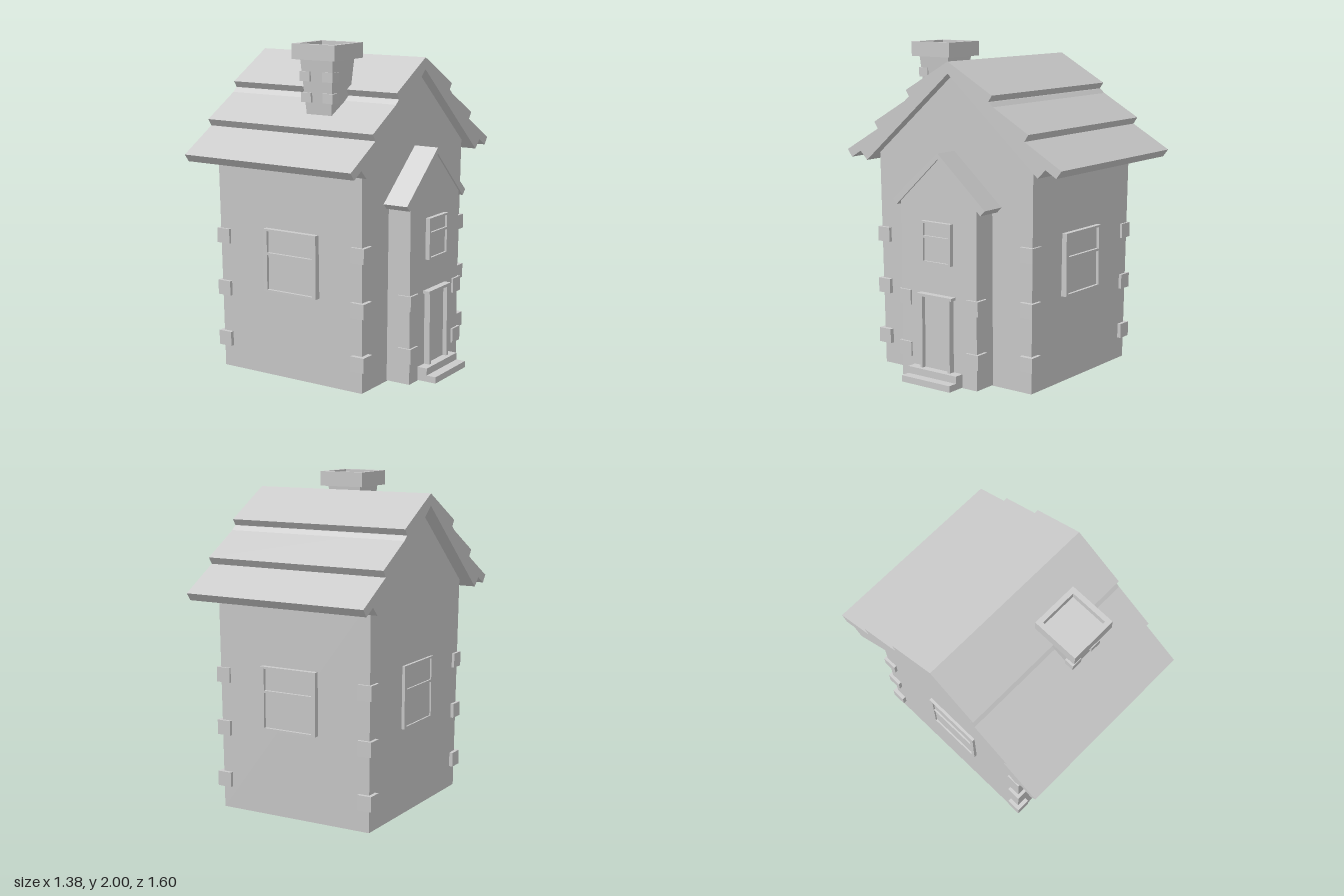
import * as THREE from 'three';

const mat = new THREE.MeshStandardMaterial({ color: 0xcccccc, flatShading: true });

export function createModel() {
  const house = new THREE.Group();
  house.name = 'house';

  const add = (name, geo, parent = house) => {
    const m = new THREE.Mesh(geo, mat);
    m.name = name;
    parent.add(m);
    return m;
  };
  // Box given by its min and max corners
  const box = (name, x0, x1, y0, y1, z0, z1, parent) => {
    const g = new THREE.BoxGeometry(x1 - x0, y1 - y0, z1 - z0);
    g.translate((x0 + x1) / 2, (y0 + y1) / 2, (z0 + z1) / 2);
    return add(name, g, parent);
  };
  const shapeOf = (pts) => new THREE.Shape(pts.map(([a, b]) => new THREE.Vector2(a, b)));
  // Profile in [z, y], extruded along x from x0 to x1
  const prism = (pts, x0, x1) => {
    const g = new THREE.ExtrudeGeometry(shapeOf(pts), { depth: x1 - x0, bevelEnabled: false });
    return g.rotateY(-Math.PI / 2).translate(x1, 0, 0);
  };
  const rect = (x0, x1, y0, y1) => [[x0, y0], [x1, y0], [x1, y1], [x0, y1]];

  // Gabled walls, flaring slightly towards the eaves
  const walls = prism([[-0.55, 0], [0.57, 0], [0.587, 1.34], [0, 1.85], [-0.567, 1.355]], -0.595, 0.405);
  const wp = walls.attributes.position;
  for (let i = 0; i < wp.count; i++) {
    if (wp.getY(i) > 1) wp.setX(i, wp.getX(i) + Math.sign(wp.getX(i)) * 0.013);
  }
  walls.computeVertexNormals();
  add('walls', walls);

  // Roof: a steeper under-layer and three overlapping planks on each slope
  const roofParts = {
    roofUnderlayer: [[0, 1.84], [0.64, 1.285], [0.7, 1.345], [0.3, 1.69], [0, 1.87]],
    roofPlankTop: [[0, 1.91], [0.32, 1.73], [0.29, 1.685], [0, 1.85]],
    roofPlankMiddle: [[0.22, 1.727], [0.575, 1.525], [0.545, 1.48], [0.22, 1.667]],
    roofPlankBottom: [[0.45, 1.54], [0.8, 1.34], [0.765, 1.295], [0.45, 1.478]],
  };
  for (const [name, pts] of Object.entries(roofParts)) {
    for (const s of [1, -1]) add(name, prism(pts.map(([z, y]) => [z * s, y]), -0.69, 0.48));
  }

  // Window: frame with two openings and recessed panes, facing local +z
  const addWindow = (name, w, h, split, border, depth, pos, turn) => {
    const g = new THREE.Group();
    g.name = name;
    const s = shapeOf(rect(-w / 2, w / 2, 0, h));
    const bar = 0.007;
    const inner = w / 2 - border;
    s.holes.push(shapeOf(rect(-inner, inner, 0.012, split - bar)));
    s.holes.push(shapeOf(rect(-inner, inner, split + bar, h - 0.012)));
    const frame = new THREE.ExtrudeGeometry(s, { depth: 0.06, bevelEnabled: false });
    add('windowFrame', frame.translate(0, 0, -0.06), g);
    box('windowPane', -inner - 0.005, inner + 0.005, 0.006, h - 0.006, -0.05, -depth, g);
    g.position.set(...pos);
    g.rotation.y = turn;
    house.add(g);
  };
  addWindow('frontWindow', 0.375, 0.38, 0.23, 0.026, 0.018, [-0.073, 0.53, 0.615], 0);
  addWindow('backWindow', 0.375, 0.38, 0.23, 0.026, 0.018, [-0.073, 0.53, -0.593], Math.PI);
  addWindow('sideWindow', 0.375, 0.38, 0.23, 0.026, 0.01, [-0.62, 0.53, 0.02], -Math.PI / 2);
  addWindow('porchWindow', 0.22, 0.25, 0.157, 0.015, 0.014, [0.59, 0.73, 0.01], Math.PI / 2);

  // Corner stones on the house and the porch
  const stone = (x, y, z) => box('cornerStone', x - 0.045, x + 0.045, y - 0.045, y + 0.045, z - 0.045, z + 0.045);
  for (const y of [0.18, 0.5, 0.825]) {
    for (const x of [-0.575, 0.39]) for (const z of [-0.53, 0.552]) stone(x, y, z);
    if (y < 0.8) for (const z of [-0.245, 0.263]) stone(0.53, y, z);
  }

  // Porch with its own gable roof
  add('porch', prism([[-0.272, 0.005], [0.297, 0.005], [0.297, 1.09], [0.005, 1.36], [-0.272, 1.1]], 0.38, 0.562));
  add('porchRoof', prism([[0.005, 1.385], [0.355, 1.087], [0.323, 1.055], [0.005, 1.35],
    [-0.308, 1.05], [-0.34, 1.082]], 0.4, 0.573));

  // Door, its surround and the steps
  box('door', 0.54, 0.573, 0.08, 0.535, -0.09, 0.115);
  for (const z of [-0.1, 0.108]) box('doorPost', 0.54, 0.6, 0.08, 0.532, z, z + 0.019);
  box('doorLintel', 0.54, 0.605, 0.528, 0.545, -0.115, 0.145);
  box('lowerStep', 0.54, 0.685, 0.008, 0.047, -0.165, 0.2);
  box('upperStep', 0.54, 0.625, 0.045, 0.09, -0.165, 0.2);

  // Chimney shaft, narrowing downwards
  const shaft = new THREE.BoxGeometry(0.228, 0.42, 0.228);
  const sp = shaft.attributes.position;
  for (let i = 0; i < sp.count; i++) {
    if (sp.getY(i) < 0) {
      sp.setX(i, sp.getX(i) * 0.7);
      sp.setZ(i, sp.getZ(i) * 0.7);
    }
  }
  shaft.computeVertexNormals();
  add('chimneyShaft', shaft).position.set(0.04, 1.715, 0.374);

  // Hollow chimney cap
  const rim = shapeOf(rect(-0.148, 0.148, -0.148, 0.148));
  rim.holes.push(shapeOf(rect(-0.118, 0.118, -0.118, 0.118)));
  const cap = new THREE.ExtrudeGeometry(rim, { depth: 0.09, bevelEnabled: false });
  add('chimneyCap', cap.rotateX(-Math.PI / 2)).position.set(0.04, 1.91, 0.373);
  box('chimneyFloor', -0.1, 0.18, 1.911, 1.95, 0.233, 0.513);

  // Stones on the two front chimney corners
  for (const [y, d] of [[1.69, 0], [1.812, 0.003]]) {
    for (const s of [-1, 1]) {
      const x = 0.04 + s * (0.076 + d);
      box('chimneyStone', x - 0.035, x + 0.035, y - 0.028, y + 0.028, 0.425, 0.485 + d * 2);
    }
  }
  return house;
}
